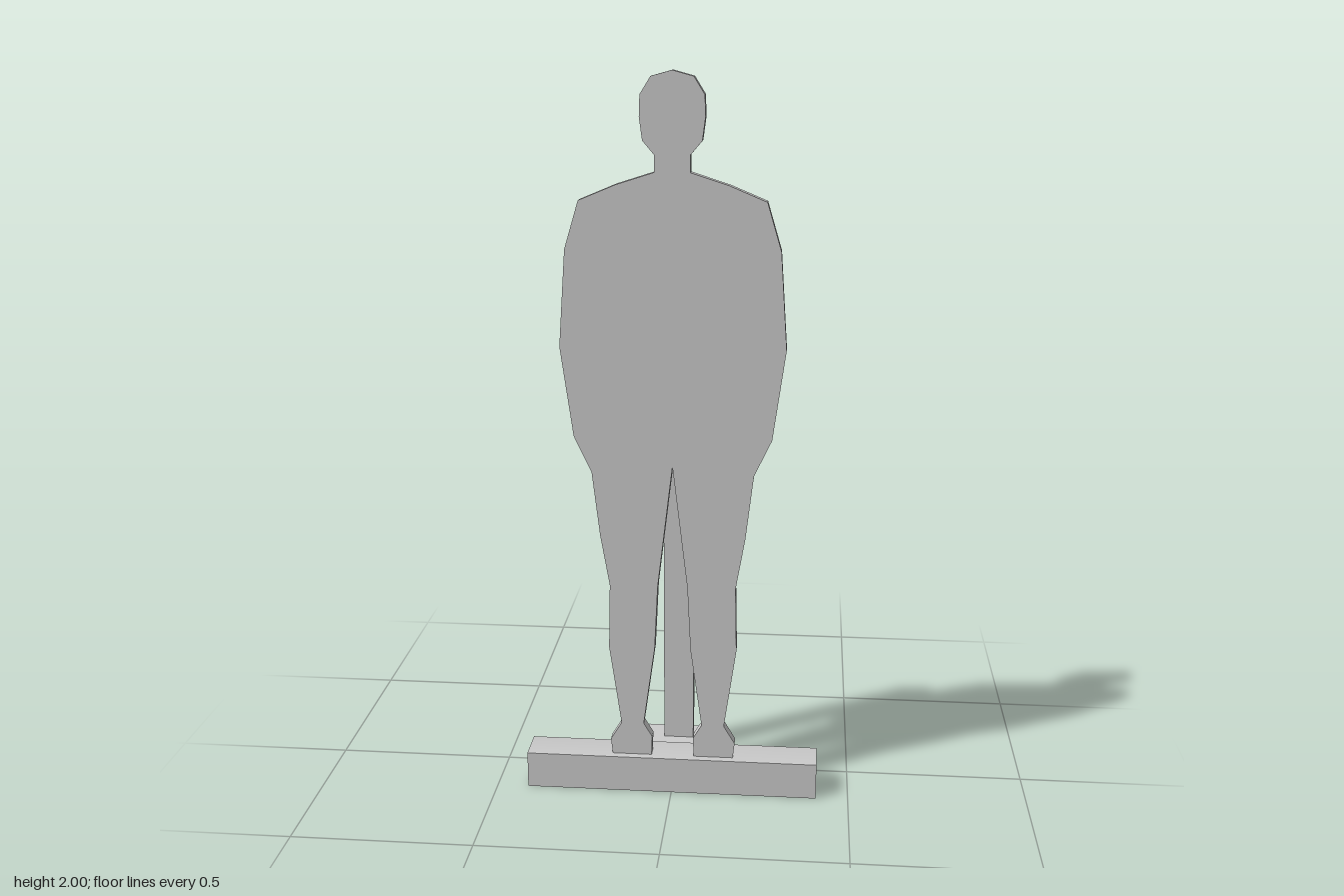
import * as THREE from 'three';
import { toCreasedNormals } from 'three/addons/utils/BufferGeometryUtils.js';

export function createModel() {
  const group = new THREE.Group();
  const material = new THREE.MeshStandardMaterial({ color: 0xcccccc });

  const add = (name, geometry, x = 0, y = 0, z = 0) => {
    const mesh = new THREE.Mesh(geometry, material);
    mesh.name = name;
    mesh.position.set(x, y, z);
    group.add(mesh);
  };
  const box = (name, w, h, d, x, y, z) =>
    add(name, new THREE.BoxGeometry(w, h, d), x, y + h / 2, z);

  // Flat standing figure: half outline from crown down to crotch, mirrored
  const half = [
    [0, 2], [0.055, 1.985], [0.083, 1.94], [0.085, 1.885], [0.077, 1.825],
    [0.047, 1.79], [0.047, 1.745], [0.147, 1.713], [0.245, 1.672],
    [0.283, 1.545], [0.301, 1.285], [0.267, 1.04], [0.22, 0.94],
    [0.199, 0.76], [0.174, 0.615], [0.178, 0.43], [0.145, 0.2],
    [0.176, 0.148], [0.171, 0.103], [0.06, 0.103], [0.058, 0.16],
    [0.082, 0.2], [0.05, 0.43], [0.041, 0.615], [0, 0.96],
  ];
  const mirrored = half.slice(1, -1).reverse().map(([x, y]) => [-x, y]);
  const outline = [...half, ...mirrored].map(([x, y]) => new THREE.Vector2(x, y));
  add('figure', new THREE.ExtrudeGeometry(new THREE.Shape(outline),
    { depth: 0.033, bevelEnabled: false }), 0.002, 0, 0.11);

  // Base bar: flat front and top, rounded underside towards the back (profile in z, y)
  const length = 0.822;
  const profile = new THREE.Shape();
  profile.moveTo(0.166, 0);
  profile.lineTo(0.166, 0.104);
  profile.lineTo(0.065, 0.104);
  profile.quadraticCurveTo(0.055, 0.104, 0.055, 0.093);
  profile.bezierCurveTo(0.055, 0.042, 0.09, 0, 0.146, 0);
  const bar = new THREE.ExtrudeGeometry(profile,
    { depth: length, bevelEnabled: false, curveSegments: 14 });
  bar.rotateY(-Math.PI / 2);
  add('baseBar', toCreasedNormals(bar, 0.6), length / 2 - 0.001);

  // Separate post on its foot, behind the figure
  box('postFoot', 0.193, 0.045, 0.117, -0.001, 0, -0.109);
  box('post', 0.087, 1.005, 0.036, -0.001, 0.045, -0.109);

  return group;
}
